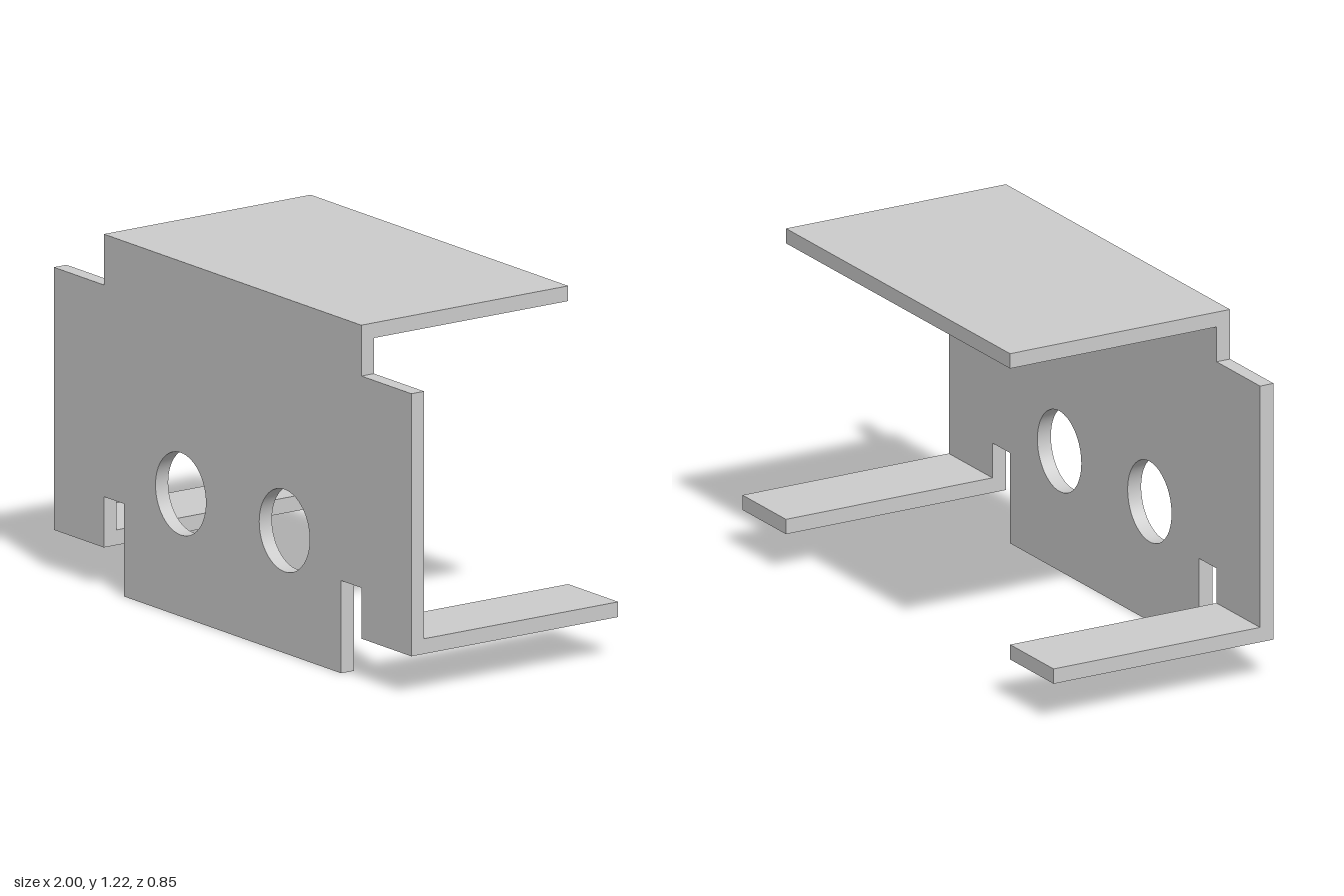
import * as THREE from 'three';
import { toCreasedNormals } from 'three/addons/utils/BufferGeometryUtils.js';

const T = 0.052;              // sheet thickness
const FRONT = 0.424;          // front face of the plate
const BACK = -0.424;          // free ends of the flanges
const HEIGHT = 1.216;
const FOOT_Y = 0.143;         // underside of the feet
const SIDE = 0.72;            // half width of the top flange, inner edge of the feet

export function createModel() {
  const group = new THREE.Group();
  const material = new THREE.MeshStandardMaterial({ color: 0xcccccc });

  const add = (name, geometry, x, y, z) => {
    const mesh = new THREE.Mesh(geometry, material);
    mesh.name = name;
    mesh.position.set(x, y, z);
    group.add(mesh);
  };

  // Upright plate: right half of the outline, mirrored for the left
  const half = [
    [0.607, 0], [0.607, 0.317], [SIDE, 0.317], [SIDE, FOOT_Y],
    [1, FOOT_Y], [1, 1.042], [SIDE, 1.042], [SIDE, HEIGHT],
  ];
  const mirrored = half.map(([x, y]) => [-x, y]).reverse();
  const outline = new THREE.Shape([...half, ...mirrored].map(([x, y]) => new THREE.Vector2(x, y)));

  // Two round holes
  for (const x of [-0.29, 0.29]) {
    const hole = new THREE.Path();
    hole.absarc(x, 0.42, 0.141, 0, Math.PI * 2, true);
    outline.holes.push(hole);
  }
  const plate = new THREE.ExtrudeGeometry(outline, { depth: T, bevelEnabled: false, curveSegments: 32 });
  add('frontPlate', toCreasedNormals(plate, 0.6), 0, 0, FRONT - T);

  // Flanges folded back from the plate
  const depth = FRONT - T - BACK;
  const z = BACK + depth / 2;
  add('topFlange', new THREE.BoxGeometry(SIDE * 2, T, depth), 0, HEIGHT - T / 2, z);
  for (const [name, s] of [['leftFoot', 1], ['rightFoot', -1]]) {
    add(name, new THREE.BoxGeometry(1 - SIDE, T, depth), s * (1 + SIDE) / 2, FOOT_Y + T / 2, z);
  }

  return group;
}
